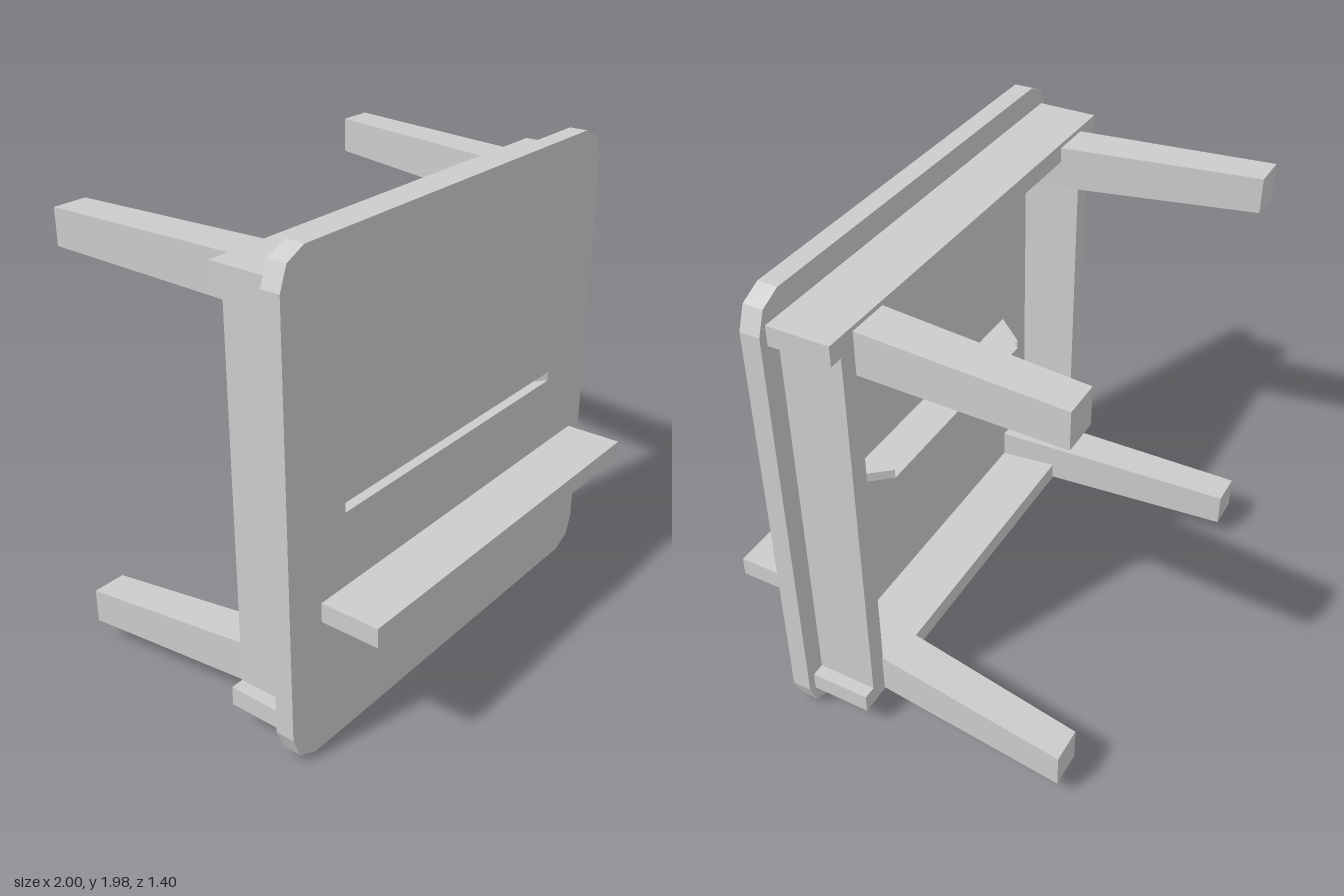
import * as THREE from 'three';

const material = new THREE.MeshStandardMaterial({ color: 0xcccccc, flatShading: true });
const openMaterial = new THREE.MeshStandardMaterial({ color: 0xcccccc, flatShading: true, side: THREE.DoubleSide });

// Box given by its minimum and maximum corners
function addBox(group, name, [x0, y0, z0], [x1, y1, z1]) {
  const mesh = new THREE.Mesh(new THREE.BoxGeometry(x1 - x0, y1 - y0, z1 - z0), material);
  mesh.position.set((x0 + x1) / 2, (y0 + y1) / 2, (z0 + z1) / 2);
  mesh.name = name;
  group.add(mesh);
}

const MID_Y = 0.99;
const SLOT = { y0: 0.94, y1: 0.98, front: 0.69, middle: 0.62, back: 0.5 };

// Upright board with clipped corners and a slot that narrows towards the back
function boardGeometry() {
  const quarter = [[1, 0.86], [0.965, 0.95], [0.88, 0.99]];
  const mirror = (sx, sy) => quarter.map(([x, y]) => new THREE.Vector2(sx * x, MID_Y + sy * y));
  const shape = new THREE.Shape([
    ...mirror(1, 1), ...mirror(-1, 1).reverse(),
    ...mirror(-1, -1), ...mirror(1, -1).reverse(),
  ]);
  const { front: f, y0, y1 } = SLOT;
  shape.holes.push(new THREE.Path([[-f, y0], [-f, y1], [f, y1], [f, y0]].map(p => new THREE.Vector2(...p))));
  const geometry = new THREE.ExtrudeGeometry(shape, { depth: 0.08, bevelEnabled: false });
  const pos = geometry.attributes.position;
  for (let i = 0; i < pos.count; i++) {
    if (pos.getZ(i) < 0.01 && Math.abs(Math.abs(pos.getX(i)) - f) < 0.001) {
      pos.setX(i, Math.sign(pos.getX(i)) * SLOT.middle);
    }
  }
  geometry.translate(0, 0, 0.37);
  geometry.computeVertexNormals();
  return geometry;
}

// Open four-sided sleeve behind the slot
function sleeveGeometry() {
  const { y0, y1, middle, back } = SLOT;
  const ring = (w, z) => [[-w, y0, z], [w, y0, z], [w, y1, z], [-w, y1, z]];
  const points = [...ring(middle, 0.37), ...ring(back, 0.23)].flat();
  const index = [];
  for (let i = 0; i < 4; i++) {
    const j = (i + 1) % 4;
    index.push(i, i + 4, j, j, i + 4, j + 4);
  }
  const geometry = new THREE.BufferGeometry();
  geometry.setAttribute('position', new THREE.Float32BufferAttribute(points, 3));
  geometry.setIndex(index);
  geometry.computeVertexNormals();
  return geometry;
}

// Tapered leg running from the board to its splayed tip
function legGeometry(sx, sy) {
  const root = { x: 0.722, y: 0.773, half: 0.0925, z: 0.37 };
  const tip = { x: 0.83, y: 0.818, half: 0.073, z: -0.7 };
  const geometry = new THREE.BoxGeometry(2, 2, 2);
  const pos = geometry.attributes.position;
  for (let i = 0; i < pos.count; i++) {
    const end = pos.getZ(i) > 0 ? root : tip;
    pos.setXYZ(i, sx * end.x + pos.getX(i) * end.half, MID_Y + sy * end.y + pos.getY(i) * end.half, end.z);
  }
  geometry.computeVertexNormals();
  return geometry;
}

export function createModel() {
  const group = new THREE.Group();
  const add = (name, geometry, mat = material) => {
    const mesh = new THREE.Mesh(geometry, mat);
    mesh.name = name;
    group.add(mesh);
  };

  add('board', boardGeometry());
  add('slotSleeve', sleeveGeometry(), openMaterial);

  // Ledge on the front of the board
  addBox(group, 'frontLedge', [-0.83, 0.555, 0.45], [0.91, 0.635, 0.7]);

  // Frame rails behind the board
  addBox(group, 'upperRail', [-0.965, 1.8, 0.12], [0.965, 1.88, 0.37]);
  addBox(group, 'lowerRail', [-0.965, 0.11, 0.12], [0.965, 0.19, 0.37]);
  addBox(group, 'leftRail', [0.83, 0.19, 0.12], [0.91, 1.8, 0.37]);
  addBox(group, 'rightRail', [-0.91, 0.19, 0.12], [-0.83, 1.8, 0.37]);

  // Four legs pointing backwards
  for (const sx of [1, -1]) {
    for (const sy of [1, -1]) {
      add(`${sy > 0 ? 'upper' : 'lower'}${sx > 0 ? 'Left' : 'Right'}Leg`, legGeometry(sx, sy));
    }
  }
  return group;
}
